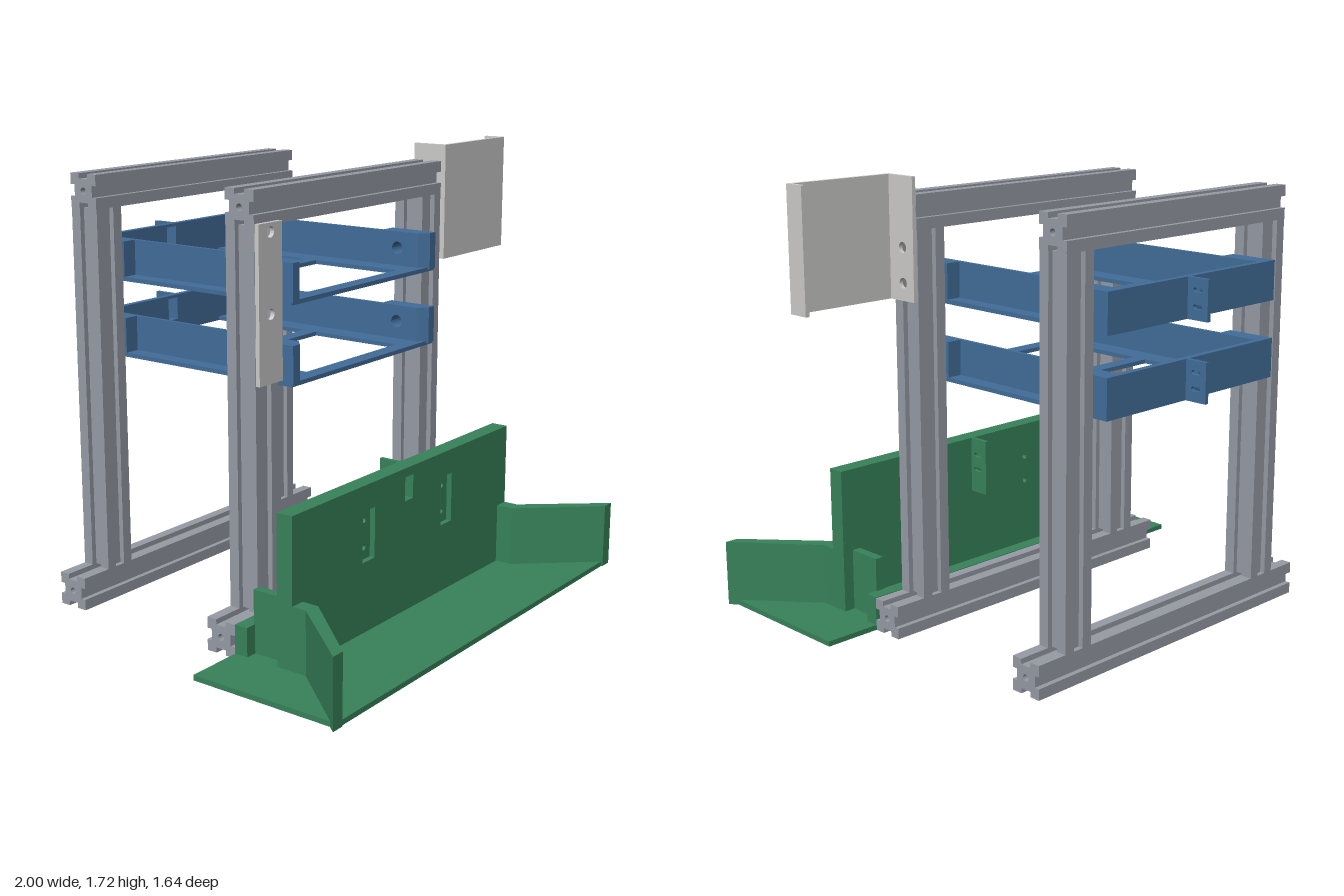
import * as THREE from 'three';

const mat = (name, color, side = THREE.FrontSide) => {
  const m = new THREE.MeshStandardMaterial({ color, side });
  m.name = name;
  return m;
};

// Outline helpers: closed polygon, rectangle, circle and slot (u0 < u1)
const poly = (pts) => new THREE.Shape(pts.map(([u, v]) => new THREE.Vector2(u, v)));
const rect = (u0, u1, v0, v1) => poly([[u0, v0], [u1, v0], [u1, v1], [u0, v1]]);
const circle = (u, v, r) => new THREE.Shape().absarc(u, v, r, 0, Math.PI * 2);
const slot = (u0, u1, v, r) => new THREE.Shape()
  .absarc(u1 - r, v, r, -Math.PI / 2, Math.PI / 2)
  .absarc(u0 + r, v, r, Math.PI / 2, Math.PI * 1.5);

// Extrude an outline along one axis from a to b.
// axis z: outline (x, y); axis x: outline (z, y); axis y: outline (x, z)
function slab(axis, shape, a, b, holes = []) {
  shape.holes.push(...holes);
  const g = new THREE.ExtrudeGeometry(shape, { depth: b - a, bevelEnabled: false, curveSegments: 10 });
  if (axis === 'x') g.rotateY(-Math.PI / 2).translate(b, 0, 0);
  else if (axis === 'y') g.rotateX(Math.PI / 2).translate(0, b, 0);
  else g.translate(0, 0, a);
  return g;
}

const box = (x0, x1, y0, y1, z0, z1) =>
  new THREE.BoxGeometry(x1 - x0, y1 - y0, z1 - z0)
    .translate((x0 + x1) / 2, (y0 + y1) / 2, (z0 + z1) / 2);

// Slotted aluminium section with a centre bore
function railSection() {
  const h = 0.064, o = 0.022, d = 0.044;
  const side = [[h, -h], [h, -o], [d, -o], [d, o], [h, o]];
  const pts = [];
  for (let k = 0; k < 4; k++) {
    const c = Math.round(Math.cos(k * Math.PI / 2)), s = Math.round(Math.sin(k * Math.PI / 2));
    side.forEach(([u, v]) => pts.push([u * c - v * s, u * s + v * c]));
  }
  return poly(pts);
}

const rail = (length) => slab('z', railSection(), -length / 2, length / 2, [circle(0, 0, 0.013)]);

export function createModel() {
  const grey = mat('aluminium grey', 0x969ba5);
  const blue = mat('tray blue', 0x426d99);
  const green = mat('base green', 0x37825a);
  const light = mat('plate light grey', 0xcccbca);

  const model = new THREE.Group();
  model.name = 'rackStand';
  const body = new THREE.Group();
  body.name = 'body';
  body.position.x = -0.0375;
  model.add(body);

  const add = (parent, name, geometry, material) => {
    const m = new THREE.Mesh(geometry, material);
    m.name = name;
    parent.add(m);
    return m;
  };
  const group = (name) => {
    const g = new THREE.Group();
    g.name = name;
    body.add(g);
    return g;
  };

  // Two upright frames made of slotted rails
  for (const [name, z] of [['frontFrame', 0.14], ['backFrame', -0.605]]) {
    const f = group(name);
    add(f, 'bottomBeam', rail(1.425).rotateY(Math.PI / 2).translate(0, 0.064, z), grey);
    add(f, 'topBeam', rail(1.17).rotateY(Math.PI / 2).translate(0, 1.59, z), grey);
    for (const s of [-1, 1])
      add(f, 'post', rail(1.398).rotateX(-Math.PI / 2).translate(s * 0.519, 0.827, z), grey);
  }

  // Two open trays hung between the posts
  for (const y of [0.95, 1.243]) {
    const t = group('tray');
    const top = y + 0.15, floor = y + 0.016;
    // floor frame with a cross bar
    add(t, 'trayFloor', slab('y', rect(-0.4525, 0.4525, -0.71, 0.262), y, floor, [
      rect(-0.2875, 0.2875, -0.19, 0.2), rect(-0.2875, 0.2875, -0.705, -0.25),
    ]), blue);
    // back wall with window, and slotted tab
    add(t, 'backWall', slab('z', rect(-0.4525, 0.4525, y, top), -0.73, -0.705,
      [rect(-0.027, 0.027, y + 0.048, y + 0.138)]), blue);
    add(t, 'tab', slab('x', rect(-0.82, -0.73, y, top), 0.027, 0.043,
      [slot(-0.795, -0.755, y + 0.047, 0.008), slot(-0.795, -0.755, y + 0.107, 0.008)]), blue);
    for (const s of [-1, 1]) {
      const span = (a, b) => (s > 0 ? [a, b] : [-b, -a]);
      // thin side wall, thick drilled blocks at the posts, bevelled nose
      add(t, 'sideWall', box(...span(0.378, 0.393), floor, top, -0.54, 0.065), blue);
      for (const [z0, z1, zc] of [[0.065, 0.235, 0.14], [-0.705, -0.535, -0.605]])
        add(t, 'mountBlock', slab('x', rect(z0, z1, floor, top), ...span(0.378, 0.4525),
          [circle(zc, y + 0.085, 0.025)]), blue);
      add(t, 'blockNose', slab('y', poly([[0.378, 0.235], [0.4525, 0.235], [0.4525, 0.268], [0.415, 0.268]]
        .map(([x, z]) => [s * x, z])), y + 0.008, top), blue);
    }
  }

  // Base: floor plate, upright wall, wings, rear bar and gussets
  const base = group('base');
  add(base, 'basePlate', box(-0.9375, 0.9375, 0, 0.02, 0.205, 0.815), green);
  const window = () => rect(-0.027, 0.027, 0.457, 0.55);
  const pads = [-0.26, 0.26];
  add(base, 'wallBack', slab('z', rect(-0.7125, 0.7125, 0.01, 0.585), 0.395, 0.44, [window(),
    ...pads.flatMap((x) => [0.338, 0.443].map((y) => circle(x, y, 0.011)))]), green);
  add(base, 'wallFront', slab('z', rect(-0.7125, 0.7125, 0.01, 0.585), 0.44, 0.462, [window(),
    ...pads.map((x) => rect(x - 0.038, x + 0.038, 0.293, 0.488))]), green);
  add(base, 'wallTab', slab('x', rect(0.31, 0.395, 0.36, 0.585), 0.027, 0.043,
    [slot(0.335, 0.378, 0.457, 0.008), slot(0.335, 0.378, 0.517, 0.008)]), green);
  add(base, 'rearBar', box(-0.7125, 0.7125, 0.01, 0.13, 0.205, 0.26), green);
  for (const s of [-1, 1]) {
    add(base, 'wing', slab('y', poly([[0.7125, 0.455], [0.7125, 0.52], [0.9625, 0.82], [0.91, 0.82],
      [0.655, 0.53], [0.655, 0.455]].map(([x, z]) => [s * x, z])), 0, 0.26), green);
    for (const x of [0.385, 0.65])
      add(base, 'gusset', box(s * x - 0.018, s * x + 0.018, 0.01, 0.26, 0.255, 0.4), green);
  }

  // Slim cover plate on the right front post
  const cover = group('coverPlate');
  add(cover, 'cover', slab('z', rect(-0.5825, -0.4535, 0.97, 1.538), 0.205, 0.222,
    [circle(-0.518, 1.505, 0.02), circle(-0.518, 1.218, 0.02)]), light);

  // Side panel folded from sheet, with a drilled mounting flange
  const panel = group('sidePanel');
  add(panel, 'panelFace', box(0.5875, 1.0375, 1.265, 1.718, 0.205, 0.222), light);
  add(panel, 'panelFlange', slab('x', rect(0.076, 0.21, 1.265, 1.718), 0.5875, 0.603,
    [circle(0.135, 1.46, 0.02), circle(0.135, 1.33, 0.02)]), light);
  add(panel, 'panelLip', box(1.0215, 1.0375, 1.265, 1.718, 0.138, 0.21), light);

  return model;
}
